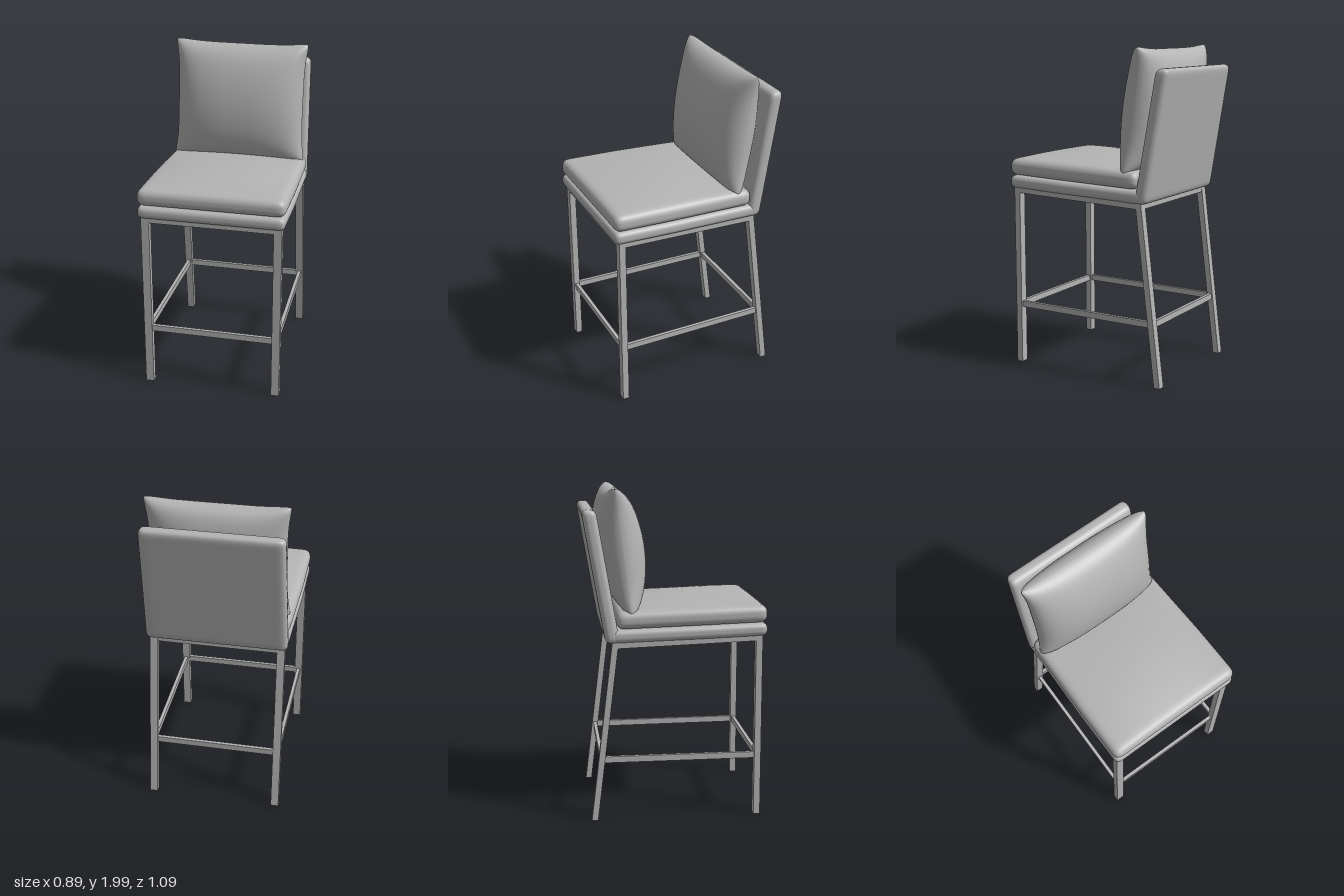
import * as THREE from 'three';
import { mergeVertices } from 'three/addons/utils/BufferGeometryUtils.js';

const grey = new THREE.MeshStandardMaterial({ color: 0xb4b4b4 });
grey.name = 'grey';

const clamp = THREE.MathUtils.clamp;
const lerp = THREE.MathUtils.lerp;

function part(name, geometry, parent) {
  const mesh = new THREE.Mesh(geometry, grey);
  mesh.name = name;
  parent.add(mesh);
  return mesh;
}

// Move every vertex of a box by a rule, then smooth it
function smoothWarp(geometry, rule) {
  geometry.deleteAttribute('uv');
  geometry.deleteAttribute('normal');
  const g = mergeVertices(geometry, 1e-5);
  const p = g.attributes.position;
  const v = new THREE.Vector3();
  for (let i = 0; i < p.count; i++) {
    rule(v.fromBufferAttribute(p, i));
    p.setXYZ(i, v.x, v.y, v.z);
  }
  g.computeVertexNormals();
  return g;
}

// Upholstered block with rounded edges, points gathered near the edges
function softBlock(w, h, d, r, warp) {
  const half = new THREE.Vector3(w / 2, h / 2, d / 2);
  const inner = new THREE.Vector3();
  return smoothWarp(new THREE.BoxGeometry(2, 2, 2, 28, 28, 28), (v) => {
    for (const a of ['x', 'y', 'z']) {
      v[a] = Math.sin(v[a] * Math.PI / 2) * half[a];
      inner[a] = clamp(v[a], r - half[a], half[a] - r);
    }
    v.sub(inner).setLength(r).add(inner);
    warp(v);
  });
}

// Throw pillow: two bulging sheets that meet in a rounded seam
function pillowGeometry() {
  return smoothWarp(new THREE.BoxGeometry(2, 2, 2, 40, 40, 2), (v) => {
    const u = Math.sin(v.x * Math.PI / 2);
    const t = Math.sin(v.y * Math.PI / 2);
    const bulge = 0.12 * Math.pow(Math.max(0, (1 - Math.abs(u) ** 2.8) * (1 - t * t)), 0.6);
    const rim = 0.033 * Math.sqrt(Math.max(0, (1 - u ** 12) * (1 - t ** 12)));
    const round = 1 - 0.035 * u ** 12 * t ** 12;
    v.x = u * (0.4 + 0.033 * t ** 4) * round;
    const y = t * (0.355 + 0.025 * u ** 4) * round;
    v.z = v.z * (bulge + rim) - 0.305 - y * 0.125;
    v.y = 1.625 + y;
  });
}

// Straight bar whose end faces stay square to the given axis
function bar(name, a, b, axis, sx, sy, sz, parent) {
  const g = new THREE.BoxGeometry(1, 1, 1);
  const p = g.attributes.position;
  const size = { x: sx, y: sy, z: sz };
  for (let i = 0; i < p.count; i++) {
    const o = new THREE.Vector3().fromBufferAttribute(p, i);
    const k = o[axis] + 0.5;
    const out = ['x', 'y', 'z'].map((c, j) => lerp(a[j], b[j], k) + (c === axis ? 0 : o[c] * size[c]));
    p.setXYZ(i, ...out);
  }
  g.computeVertexNormals();
  return part(name, g, parent);
}

export function createModel() {
  const model = new THREE.Group();
  model.name = 'barStool';
  const upholstery = new THREE.Group();
  upholstery.name = 'upholstery';
  const frame = new THREE.Group();
  frame.name = 'frame';
  model.add(upholstery, frame);

  // The seat narrows and drops a little toward the back
  const taper = (z) => lerp(0.965, 1, clamp((z + 0.4) / 0.6, 0, 1));
  const drop = (z) => (z - 0.55) * 0.031;

  part('seatBase', softBlock(0.885, 0.08, 0.94, 0.034, (v) => {
    v.z += 0.08;
    v.x *= taper(v.z);
    v.y += 1.16 + drop(v.z);
  }), upholstery);

  part('seatCushion', softBlock(0.89, 0.105, 0.9, 0.045, (v) => {
    v.z += 0.1;
    const u = v.x / 0.445, w = (v.z - 0.1) / 0.45;
    const dome = 0.033 * Math.max(0, (1 - u * u) * (1 - w * w));
    v.x *= taper(v.z);
    v.y += 1.253 + drop(v.z) + (v.y > 0 ? dome : 0);
  }), upholstery);

  part('backrest', softBlock(0.86, 0.785, 0.086, 0.036, (v) => {
    const k = (v.y + 0.3925) / 0.785;
    v.x *= lerp(1, 0.965, k);
    v.z += lerp(-0.372, -0.505, k);
    v.y += 1.483;
  }), upholstery);

  part('backPillow', pillowGeometry(), upholstery);

  // Legs, side rails and side stretchers, mirrored
  for (const s of [-1, 1]) {
    const side = s > 0 ? 'left' : 'right';
    bar(side + 'FrontLeg', [s * 0.4, 0, 0.502], [s * 0.4, 1.13, 0.502], 'y', 0.05, 1, 0.04, frame);
    bar(side + 'BackLeg', [s * 0.393, 0, -0.493], [s * 0.387, 1.11, -0.356], 'y', 0.048, 1, 0.038, frame);
    bar(side + 'SeatRail', [s * 0.387, 1.077, -0.36], [s * 0.4, 1.108, 0.502], 'z', 0.045, 0.034, 1, frame);
    bar(side + 'Stretcher', [s * 0.391, 0.377, -0.445], [s * 0.4, 0.377, 0.502], 'z', 0.022, 0.038, 1, frame);
  }

  // Cross rails and stretchers
  bar('frontSeatRail', [-0.4, 1.108, 0.502], [0.4, 1.108, 0.502], 'x', 1, 0.034, 0.04, frame);
  bar('backSeatRail', [-0.387, 1.077, -0.358], [0.387, 1.077, -0.358], 'x', 1, 0.034, 0.038, frame);
  bar('frontStretcher', [-0.39, 0.377, 0.502], [0.39, 0.377, 0.502], 'x', 1, 0.038, 0.022, frame);
  bar('backStretcher', [-0.385, 0.377, -0.446], [0.385, 0.377, -0.446], 'x', 1, 0.038, 0.022, frame);

  // Slats under the seat
  for (let i = 0; i < 5; i++) {
    const z = -0.265 + i * 0.168;
    const y = 1.112 + drop(z);
    bar('seatSlat', [-0.38, y, z], [0.38, y, z], 'x', 1, 0.018, 0.135, frame);
  }
  return model;
}
